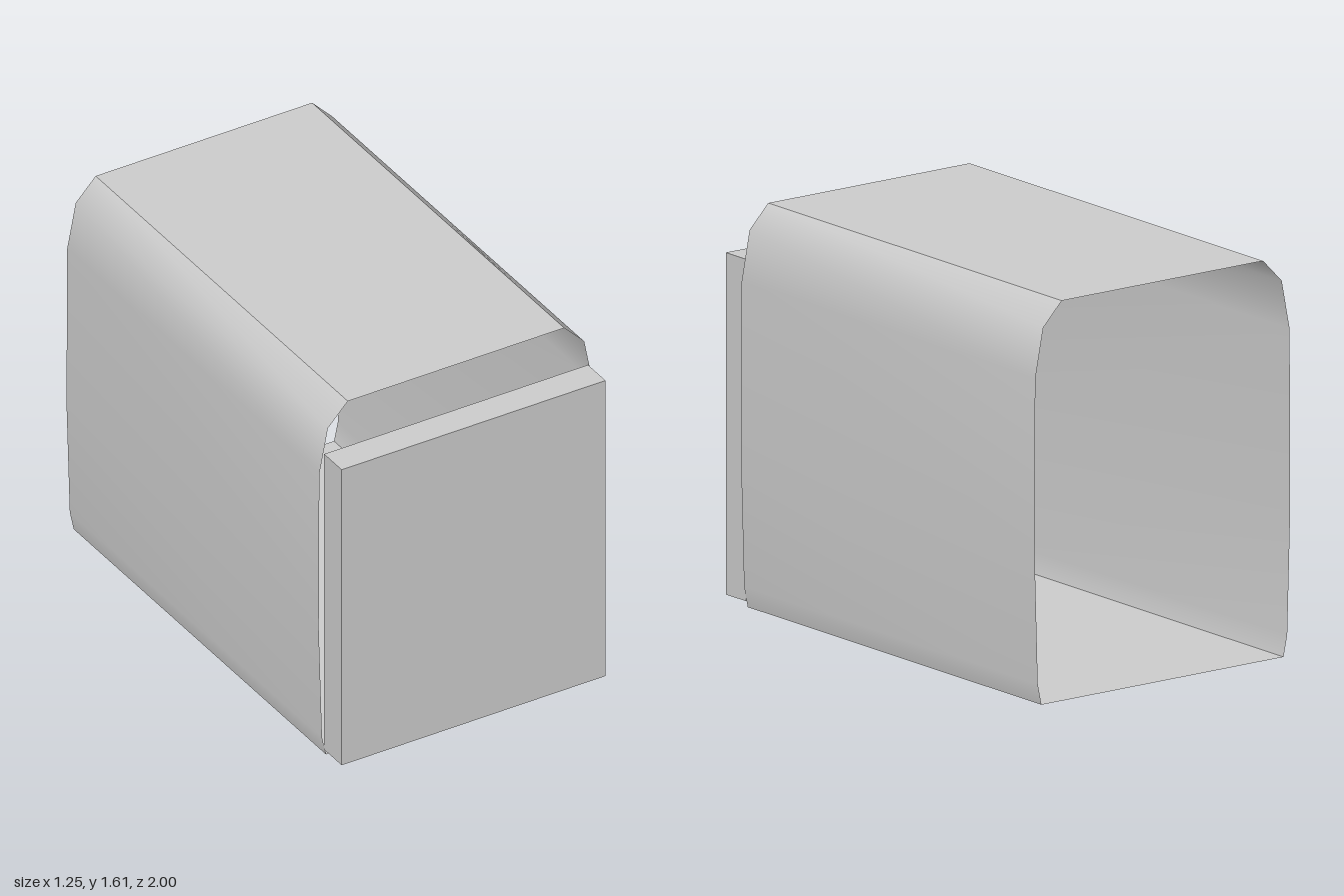
import * as THREE from 'three';

const BACK = -1, MOUTH = 0.87, FRONT = 1;

// Sheet swept along z from a run of [x, y] points, smooth within the run
function sheet(points) {
  const positions = [], index = [];
  points.forEach(([x, y], i) => {
    positions.push(x, y, MOUTH, x, y, BACK);
    if (i > 0) {
      const a = 2 * (i - 1);
      index.push(a, a + 2, a + 3, a, a + 3, a + 1);
    }
  });
  const geometry = new THREE.BufferGeometry();
  geometry.setAttribute('position', new THREE.Float32BufferAttribute(positions, 3));
  geometry.setIndex(index);
  geometry.computeVertexNormals();
  return geometry;
}

export function createModel() {
  const group = new THREE.Group();
  const grey = new THREE.MeshStandardMaterial({ color: 0xcccccc, side: THREE.DoubleSide });
  grey.name = 'light grey';

  const add = (name, geometry) => {
    const mesh = new THREE.Mesh(geometry, grey);
    mesh.name = name;
    group.add(mesh);
    return mesh;
  };

  // Half profile of the open sleeve, from the top edge down to the floor edge
  const side = [
    [0.494, 1.614], [0.585, 1.52], [0.624, 1.32],
    [0.627, 0.6], [0.612, 0.09], [0.594, 0.005],
  ];
  const mirrored = side.map(([x, y]) => [-x, y]).reverse();
  const top = side[0], bottom = side[side.length - 1];

  // Thin sleeve, open at both ends, with sharp roof and floor edges
  add('sleeveLeftWall', sheet(side));
  add('sleeveRightWall', sheet(mirrored));
  add('sleeveRoof', sheet([[-top[0], top[1]], top]));
  add('sleeveFloor', sheet([bottom, [-bottom[0], bottom[1]]]));

  // Flat block standing against the front mouth
  const y0 = 0.03, y1 = 1.405;
  const panel = add('frontPanel', new THREE.BoxGeometry(1.204, y1 - y0, FRONT - MOUTH));
  panel.position.set(0, (y0 + y1) / 2, (FRONT + MOUTH) / 2);

  return group;
}
